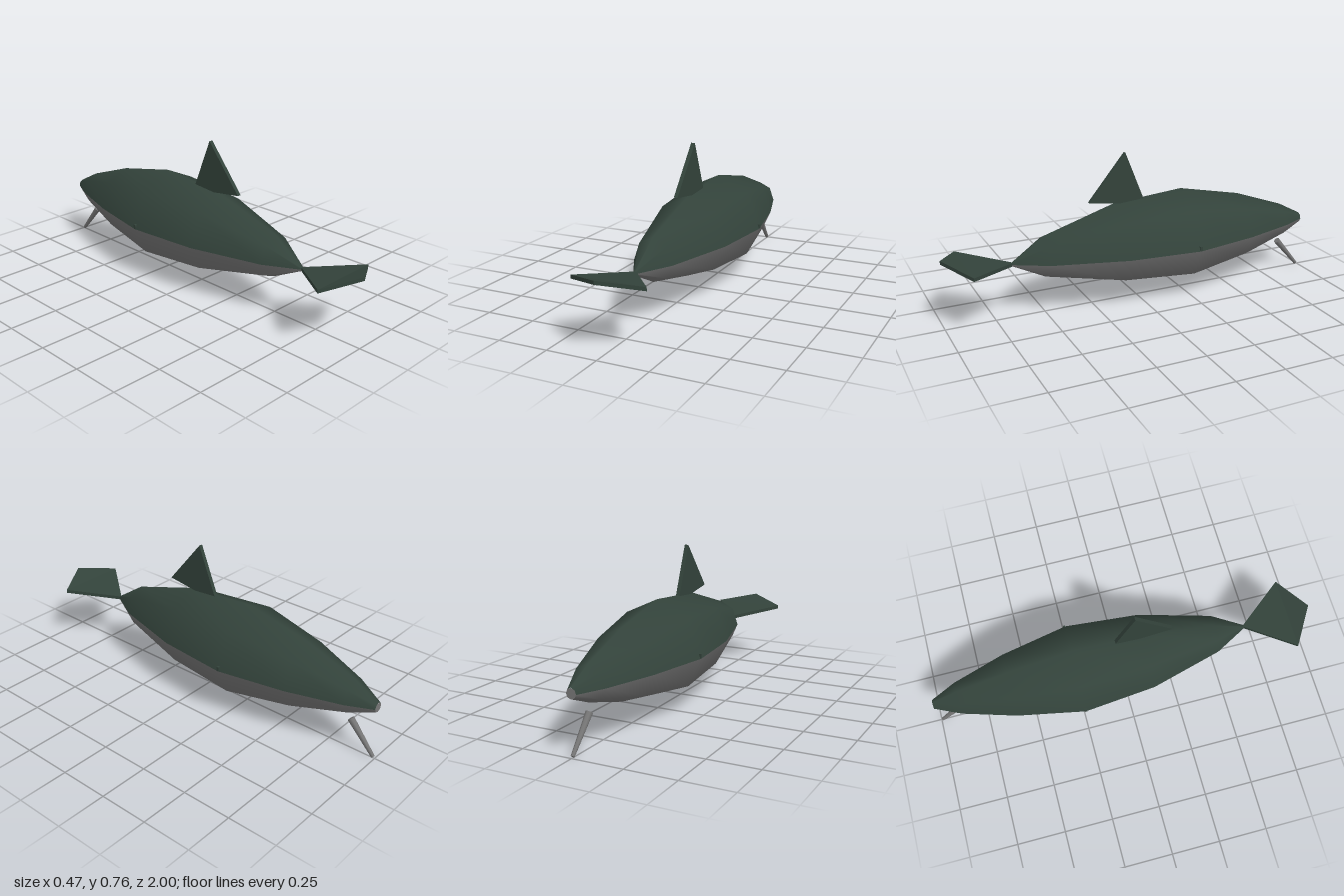
import * as THREE from 'three';

const green = new THREE.MeshStandardMaterial({ color: 0x33433b });
const greenFlat = new THREE.MeshStandardMaterial({ color: 0x33433b, flatShading: true });
const grey = new THREE.MeshStandardMaterial({ color: 0x777777 });

const MID = 0.28; // height of the seam between back and belly
// Hull stations: z, half width, height above the seam, depth below it
const stations = [
  [0.66, 0.008, 0.008, 0.008],
  [0.49, 0.10, 0.122, 0.093],
  [0.12, 0.20, 0.235, 0.177],
  [-0.25, 0.235, 0.265, 0.205],
  [-0.59, 0.168, 0.193, 0.148],
  [-0.86, 0.085, 0.097, 0.073],
  [-0.99, 0.024, 0.028, 0.022],
];

function add(parent, name, geometry, material) {
  const mesh = new THREE.Mesh(geometry, material);
  mesh.name = name;
  parent.add(mesh);
  return mesh;
}

function indexed(points, index) {
  const g = new THREE.BufferGeometry();
  g.setAttribute('position', new THREE.Float32BufferAttribute(points.flat(), 3));
  g.setIndex(index);
  g.computeVertexNormals();
  return g;
}

// One half of the eight-sided hull, swept through the stations
function hullHalf(upper) {
  const points = [], index = [], start = upper ? 0 : Math.PI;
  stations.forEach(([z, w, up, down], i) => {
    for (let j = 0; j <= 4; j++) {
      const a = start + (j * Math.PI) / 4;
      points.push([w * Math.cos(a), MID + (upper ? up : down) * Math.sin(a), z]);
      if (i < stations.length - 1 && j < 4) {
        const p = i * 5 + j, q = p + 5;
        index.push(p, q, p + 1, q, q + 1, p + 1);
      }
    }
  });
  return indexed(points, index);
}

// Bent kite-shaped plate, folded across its widest line
function tailPlate() {
  const top = [[0, 0.288, 0.65], [0.185, 0.321, 0.89], [0, 0.356, 1.0], [-0.185, 0.321, 0.89]];
  const bottom = top.map(([x, y, z]) => [x, y - 0.018, z]);
  const index = [0, 3, 1, 1, 3, 2, 4, 5, 7, 5, 6, 7];
  for (let i = 0; i < 4; i++) {
    const n = (i + 1) % 4;
    index.push(i, n, i + 4, n, n + 4, i + 4);
  }
  return indexed(top.concat(bottom), index);
}

export function createModel() {
  const model = new THREE.Group();
  model.name = 'fish';

  // Body
  const body = new THREE.Group();
  body.name = 'body';
  model.add(body);
  add(body, 'back', hullHalf(true), green);
  add(body, 'belly', hullHalf(false), grey);
  const endCap = add(body, 'endCap', new THREE.CircleGeometry(0.025, 8), grey);
  endCap.position.set(0, MID + 0.002, -0.99);
  endCap.rotation.y = Math.PI;
  add(body, 'tailRootCap', new THREE.CircleGeometry(0.008, 8), green).position.set(0, MID, 0.66);

  // Tail
  add(model, 'tailFin', tailPlate(), greenFlat);

  // Dorsal fin, drawn in the z-y plane and extruded across x
  const outline = new THREE.Shape();
  outline.moveTo(-0.255, 0.535);
  outline.lineTo(0.048, 0.493);
  outline.lineTo(-0.062, 0.768);
  const fin = new THREE.ExtrudeGeometry(outline, { depth: 0.02, bevelEnabled: false });
  fin.translate(0, 0, -0.01).rotateY(Math.PI / 2);
  add(model, 'dorsalFin', fin, greenFlat);

  // Small studs on both flanks
  for (const s of [1, -1]) {
    const stud = add(model, s > 0 ? 'leftStud' : 'rightStud', new THREE.BoxGeometry(0.014, 0.022, 0.012), greenFlat);
    stud.position.set(s * 0.23, 0.293, -0.25);
  }

  // Tapered rod below the far end
  const from = new THREE.Vector3(0, 0.163, -0.858);
  const to = new THREE.Vector3(0, 0.009, -0.991);
  const dir = from.clone().sub(to);
  const rod = add(model, 'rod', new THREE.CylinderGeometry(0.017, 0.009, dir.length(), 8), grey);
  rod.position.copy(from).add(to).multiplyScalar(0.5);
  rod.quaternion.setFromUnitVectors(new THREE.Vector3(0, 1, 0), dir.normalize());

  return model;
}
